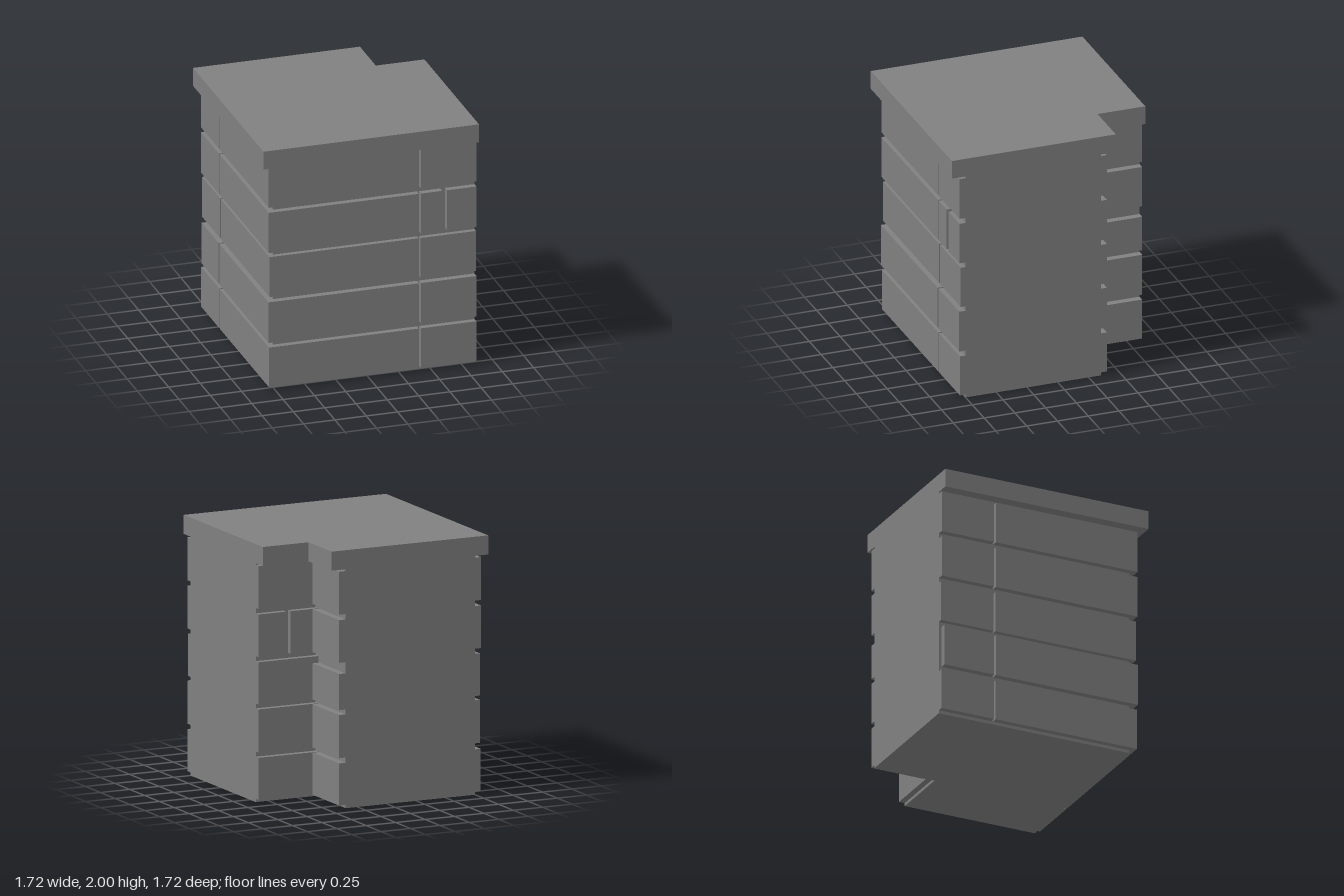
import * as THREE from 'three';

const stone = new THREE.MeshStandardMaterial({ color: 0x808080 });
stone.name = 'grey stone';

// Outer face position and height range of each brick course
const courses = [
  { y0: 0.025, y1: 0.352, face: 0.797 },
  { y0: 0.393, y1: 0.727, face: 0.802 },
  { y0: 0.765, y1: 1.093, face: 0.79 },
  { y0: 1.132, y1: 1.463, face: 0.8 },
  { y0: 1.505, y1: 1.838, face: 0.8 },
];
const END = 0.858;   // flush cut ends of the wall
const CORE = 0.75;   // outer mortar faces
const INNER = 0.35;  // inner mortar faces of the notch
const IN_FACE = 0.405; // inner brick faces of the notch

// L-shaped slab: square plan with a notch at +x, -z
function lSlab(name, outer, notch, y0, y1) {
  const s = new THREE.Shape();
  s.moveTo(-outer, -outer);
  s.lineTo(END, -outer);
  s.lineTo(END, notch);
  s.lineTo(notch, notch);
  s.lineTo(notch, END);
  s.lineTo(-outer, END);
  s.closePath();
  const g = new THREE.ExtrudeGeometry(s, { depth: y1 - y0, bevelEnabled: false });
  g.rotateX(-Math.PI / 2);
  g.translate(0, y0, 0);
  const m = new THREE.Mesh(g, stone);
  m.name = name;
  return m;
}

// Box given by its extents
function brick(name, x0, x1, y0, y1, z0, z1) {
  const g = new THREE.BoxGeometry(x1 - x0, y1 - y0, z1 - z0);
  g.translate((x0 + x1) / 2, (y0 + y1) / 2, (z0 + z1) / 2);
  const m = new THREE.Mesh(g, stone);
  m.name = name;
  return m;
}

export function createModel() {
  const model = new THREE.Group();
  model.name = 'wallCorner';

  // Mortar core and overhanging coping
  model.add(lSlab('mortarCore', CORE, INNER, 0, 1.852));
  model.add(lSlab('coping', 0.862, 0.47, 1.852, 2));

  courses.forEach(({ y0, y1, face }, i) => {
    const row = new THREE.Group();
    row.name = 'brickCourse' + (i + 1);

    // Long bricks meeting at the outer corner
    row.add(brick('frontLongBrick', -face, 0.4, y0, y1, CORE, face));
    row.add(brick('sideLongBrick', -face, -CORE, y0, y1, -0.4, CORE));

    // Short bricks towards the front wall end, one course split in two
    const spans = i === 3 ? [[0.416, 0.585], [0.625, END]] : [[0.416, END]];
    for (const [a, b] of spans) {
      row.add(brick('frontShortBrick', a, b, y0, y1, CORE, face));
    }
    const innerSpans = i === 3 ? [[INNER, 0.585], [0.625, END]] : [[INNER, END]];
    for (const [a, b] of innerSpans) {
      row.add(brick('innerFrontBrick', a, b, y0, y1, -0.398, -INNER));
    }

    // Short bricks towards the back wall end
    row.add(brick('sideShortBrick', -face, -CORE, y0, y1, i === 1 ? -0.835 : -END, -0.416));
    row.add(brick('innerSideBrick', INNER, IN_FACE, y0, i === 2 ? 1.045 : y1, -END, -0.412));

    model.add(row);
  });

  return model;
}
